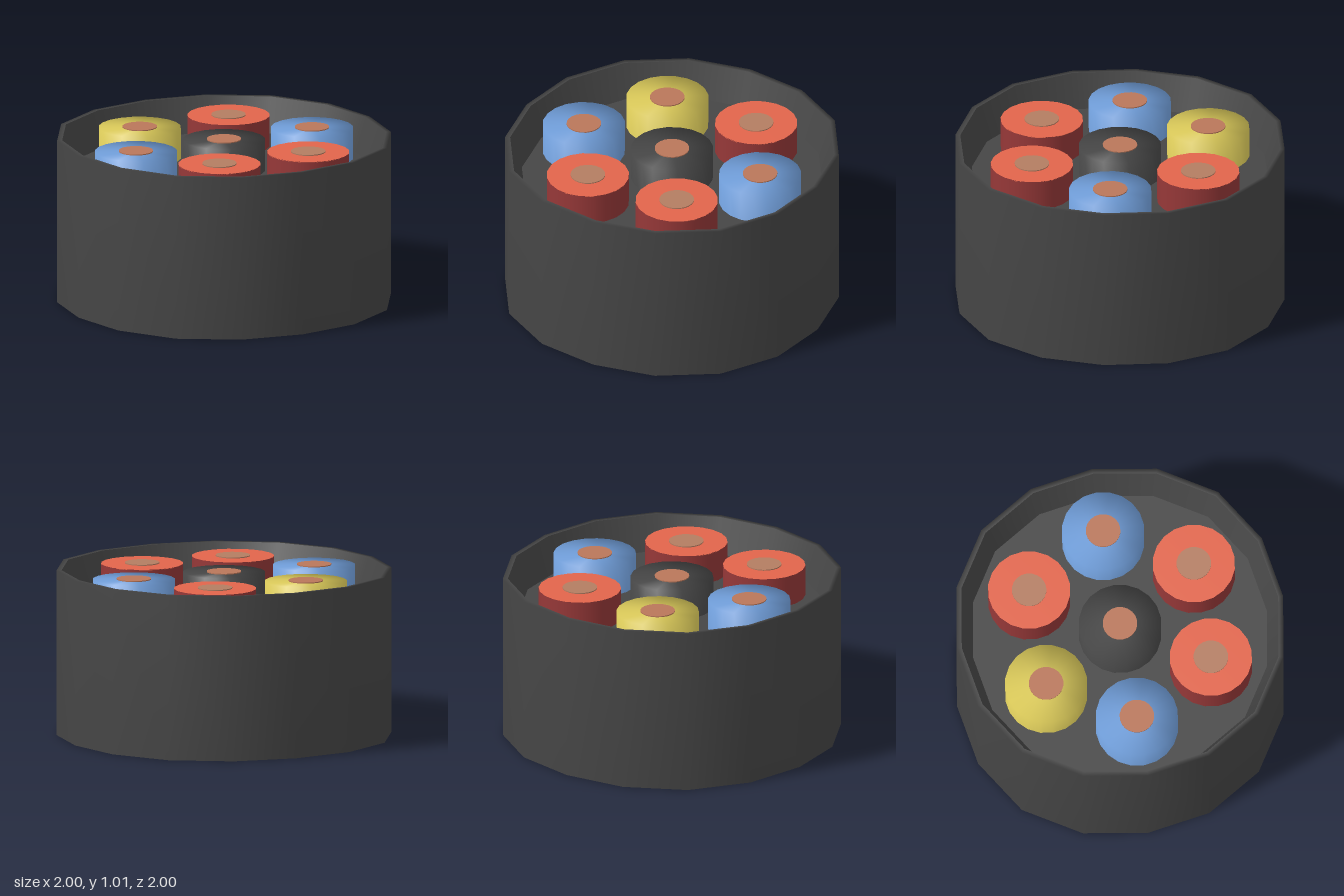
import * as THREE from 'three';

const mat = (name, color) => {
  const m = new THREE.MeshStandardMaterial({ color });
  m.name = name;
  return m;
};

// Turned part from a [radius, height] profile
function turned(name, profile, sides, material) {
  const g = new THREE.LatheGeometry(profile.map(p => new THREE.Vector2(...p)), sides);
  const mesh = new THREE.Mesh(g, material);
  mesh.name = name;
  return mesh;
}

// Slightly squared circle: pushes the diagonals outwards
function squareOff(mesh) {
  const p = mesh.geometry.attributes.position;
  for (let i = 0; i < p.count; i++) {
    const x = p.getX(i), z = p.getZ(i);
    const s = 1 + 0.0135 * (1 - Math.cos(4 * Math.atan2(z, x)));
    p.setXYZ(i, x * s, p.getY(i), z * s);
  }
  return mesh;
}

export function createModel() {
  const dark = mat('dark rubber', 0x464646);
  const red = mat('red', 0xe2654b);
  const darkRed = mat('dark red', 0x963838);
  const blue = mat('blue', 0x719fdb);
  const yellow = mat('yellow', 0xdccb5a);
  const copper = mat('copper', 0xba775a);
  const paleCopper = mat('pale copper', 0xb47d62);

  const model = new THREE.Group();
  model.name = 'cableSection';
  const H = 1.01, topFloor = 0.8, bottomFloor = 0.2;

  // Outer sheath with soft rims, sloping inner lips and recessed floors
  const sheath = new THREE.Group();
  sheath.name = 'sheath';
  sheath.add(
    squareOff(turned('outerWall', [[0.97, 0], [1, 0], [1, H], [0.97, H]], 16, dark)),
    squareOff(turned('upperLip', [[0.97, H], [0.9, topFloor]], 16, dark)),
    squareOff(turned('upperFloor', [[0.9, topFloor], [0, topFloor]], 16, dark)),
    squareOff(turned('lowerLip', [[0.9, bottomFloor], [0.97, 0]], 16, dark)),
    squareOff(turned('lowerFloor', [[0, bottomFloor], [0.9, bottomFloor]], 16, dark)),
  );
  model.add(sheath);

  // Seven wires: dark lower end, coloured upper end, copper core
  const wires = [
    ['centreWire', 0, 0, dark, dark, copper],
    ['leftWire', 0.605, 0, blue, blue, copper],
    ['rightWire', -0.605, 0, blue, blue, copper],
    ['backRightWire', -0.305, -0.505, yellow, yellow, copper],
    ['backLeftWire', 0.305, -0.505, red, darkRed, paleCopper],
    ['frontLeftWire', 0.305, 0.505, red, darkRed, paleCopper],
    ['frontRightWire', -0.305, 0.505, red, darkRed, paleCopper],
  ];
  const r = 0.25, top = 0.99, mid = 0.5;
  for (const [name, x, z, capColour, sideColour, coreColour] of wires) {
    const wire = new THREE.Group();
    wire.name = name;
    wire.position.set(x, 0, z);
    wire.add(turned('lowerEnd', [[0, 0.003], [r, 0.003], [r, mid]], 20, dark));
    if (capColour === sideColour) {
      wire.add(turned('insulation', [[r, mid], [r, top], [0, top]], 20, capColour));
    } else {
      wire.add(
        turned('insulationSide', [[r, mid], [r, top]], 20, sideColour),
        turned('insulationCap', [[r, top - 0.004], [r, top], [0, top]], 20, capColour),
      );
    }
    const core = new THREE.Mesh(new THREE.CylinderGeometry(0.105, 0.105, 0.006, 20), coreColour);
    core.name = 'core';
    core.position.y = top + 0.003;
    wire.add(core);
    model.add(wire);
  }
  return model;
}
